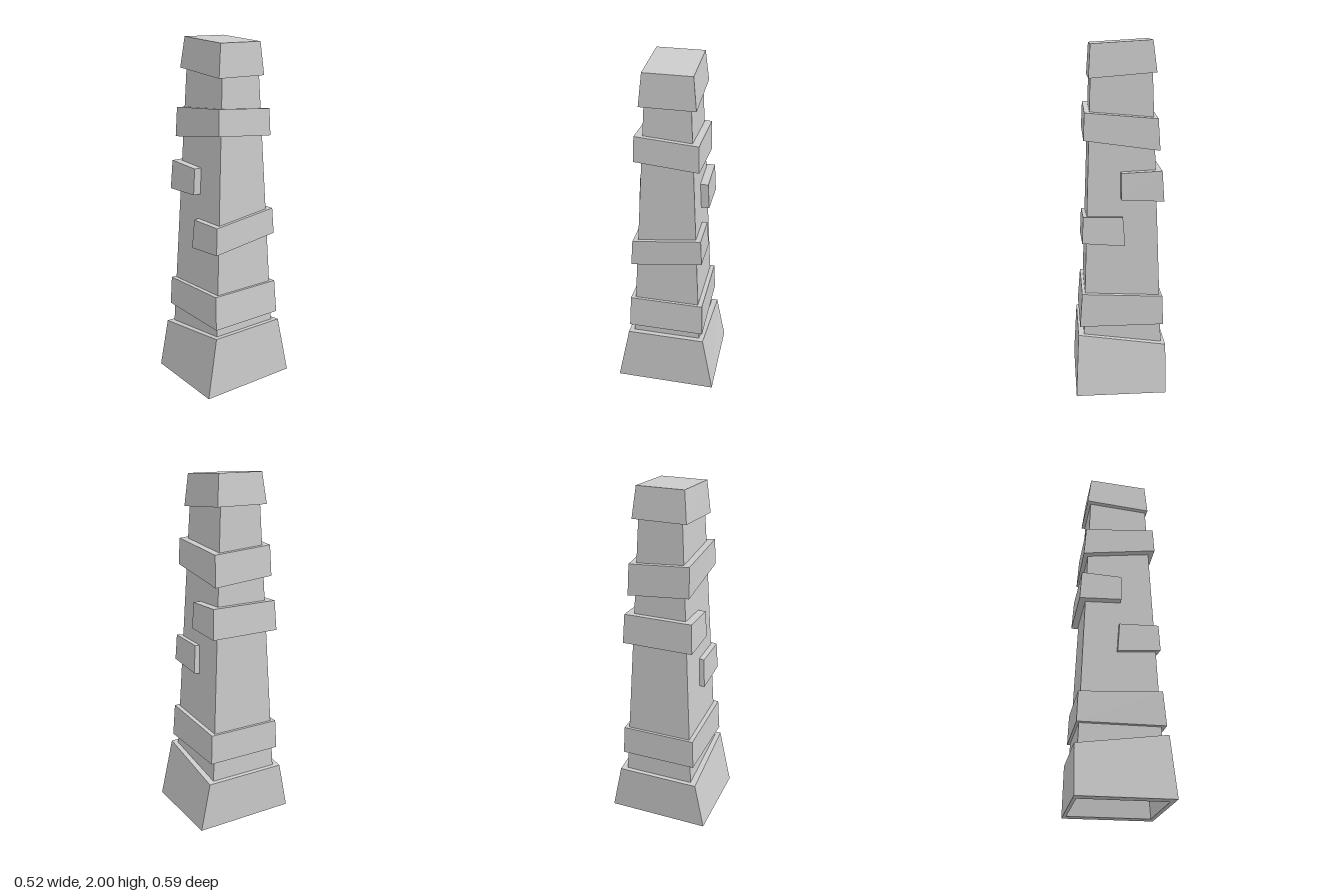
import * as THREE from 'three';

const material = new THREE.MeshStandardMaterial({ color: 0xcccccc, flatShading: true });

// Four-cornered section: front left, front right, back right, back left.
// "left" here is the -x edge; z is the half depth (or [at xl, at xr]),
// y is one height or one per corner.
function section(xl, xr, z, y) {
  const [zl, zr] = Array.isArray(z) ? z : [z, z];
  const h = Array.isArray(y) ? y : [y, y, y, y];
  return [[xl, h[0], zl], [xr, h[1], zr], [xr, h[2], -zr], [xl, h[3], -zl]];
}

// Closed flat-faced solid through the given sections
function loft(name, sections) {
  const pos = [];
  const quad = (a, b, c, d) => pos.push(...a, ...b, ...c, ...a, ...c, ...d);
  for (let s = 0; s < sections.length - 1; s++) {
    const lo = sections[s], hi = sections[s + 1];
    for (let i = 0; i < 4; i++) {
      const j = (i + 1) % 4;
      quad(lo[i], lo[j], hi[j], hi[i]);
    }
  }
  const first = sections[0], last = sections[sections.length - 1];
  quad(first[3], first[2], first[1], first[0]);
  quad(...last);
  const geometry = new THREE.BufferGeometry();
  geometry.setAttribute('position', new THREE.Float32BufferAttribute(pos, 3));
  geometry.computeVertexNormals();
  const mesh = new THREE.Mesh(geometry, material);
  mesh.name = name;
  return mesh;
}

export function createModel() {
  const group = new THREE.Group();
  group.name = 'taperedTower';

  group.add(
    // Flared foot, hollow underneath, with a slanted top
    loft('base', [
      section(-0.23, 0.21, 0.205, 0.265),
      section(-0.242, 0.232, 0.228, 0),
      section(-0.262, 0.258, 0.297, 0),
      section(-0.262, 0.24, [0.24, 0.228], [0.28, 0.35, 0.35, 0.28]),
    ]),
    // Tapered square shaft
    loft('shaft', [
      section(-0.24, 0.21, 0.205, 0.27),
      section(-0.183, 0.152, 0.121, 1.87),
    ]),
    // Full wraps
    loft('lowerBand', [
      section(-0.25, 0.23, 0.222, 0.4),
      section(-0.244, 0.215, 0.214, [0.57, 0.595, 0.595, 0.57]),
    ]),
    loft('upperBand', [
      section(-0.225, 0.197, 0.178, [1.44, 1.5, 1.47, 1.41]),
      section(-0.213, 0.19, 0.173, [1.61, 1.645, 1.62, 1.585]),
    ]),
    // Half wraps, each covering one side and ending mid-face
    loft('rightHalfBand', [
      section(-0.03, 0.211, 0.205, [0.82, 0.84, 0.895, 0.875]),
      section(-0.018, 0.204, 0.196, [0.99, 0.995, 1.045, 1.04]),
    ]),
    loft('leftHalfBand', [
      section(-0.247, -0.008, 0.205, [1.13, 1.14, 1.14, 1.13]),
      section(-0.236, -0.008, 0.196, [1.3, 1.29, 1.29, 1.3]),
    ]),
    // Slanted cap
    loft('cap', [
      section(-0.205, 0.165, 0.152, [1.83, 1.8, 1.8, 1.83]),
      section(-0.184, 0.153, 0.133, [2, 1.98, 1.98, 2]),
    ]),
  );
  return group;
}
